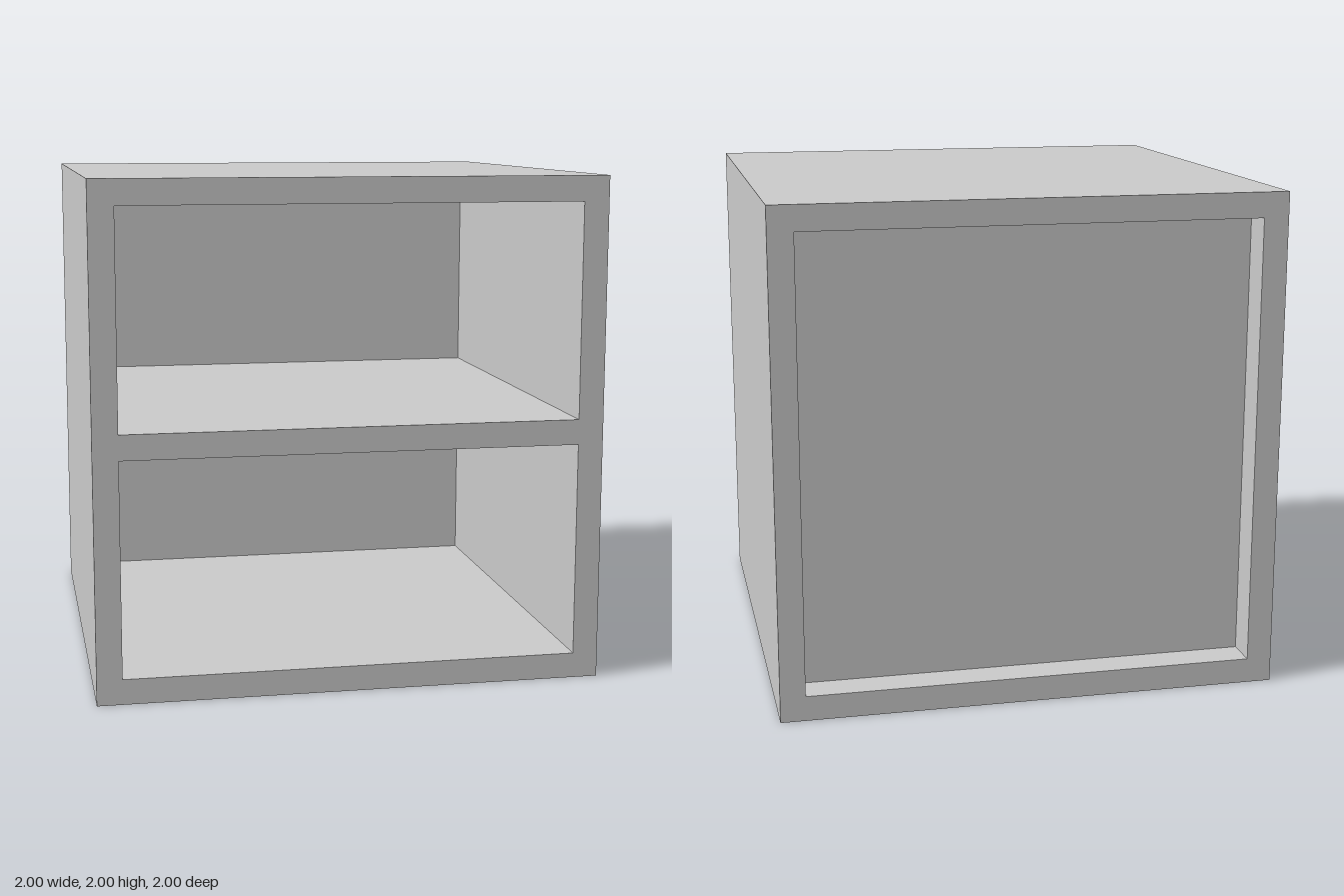
import * as THREE from 'three';

const SIZE = 2;
const BOARD = 0.1;
const INNER = SIZE - 2 * BOARD;
const RECESS = 0.135; // how far the back panel is set in

function rectangle(PathType, size) {
  const h = size / 2;
  return new PathType([
    new THREE.Vector2(-h, -h),
    new THREE.Vector2(h, -h),
    new THREE.Vector2(h, h),
    new THREE.Vector2(-h, h),
  ]).closePath();
}

export function createModel() {
  const group = new THREE.Group();
  group.name = 'openCabinet';
  const material = new THREE.MeshStandardMaterial({ color: 0xcccccc, flatShading: true });

  const add = (name, geometry, y, z) => {
    const mesh = new THREE.Mesh(geometry, material);
    mesh.name = name;
    mesh.position.set(0, y, z);
    group.add(mesh);
  };

  // Outer case: top, bottom and sides as one square tube
  const outline = rectangle(THREE.Shape, SIZE);
  outline.holes.push(rectangle(THREE.Path, INNER));
  add('case', new THREE.ExtrudeGeometry(outline, { depth: SIZE, bevelEnabled: false }), SIZE / 2, -SIZE / 2);

  // Back panel, inset from the rear edge
  const panelBack = -SIZE / 2 + RECESS;
  const panelFront = panelBack + BOARD;
  add('backPanel', new THREE.BoxGeometry(INNER, INNER, BOARD), SIZE / 2, (panelBack + panelFront) / 2);

  // Middle shelf, flush with the front edge
  const shelfDepth = SIZE / 2 - panelFront;
  add('shelf', new THREE.BoxGeometry(INNER, BOARD, shelfDepth), SIZE / 2, panelFront + shelfDepth / 2);

  return group;
}
